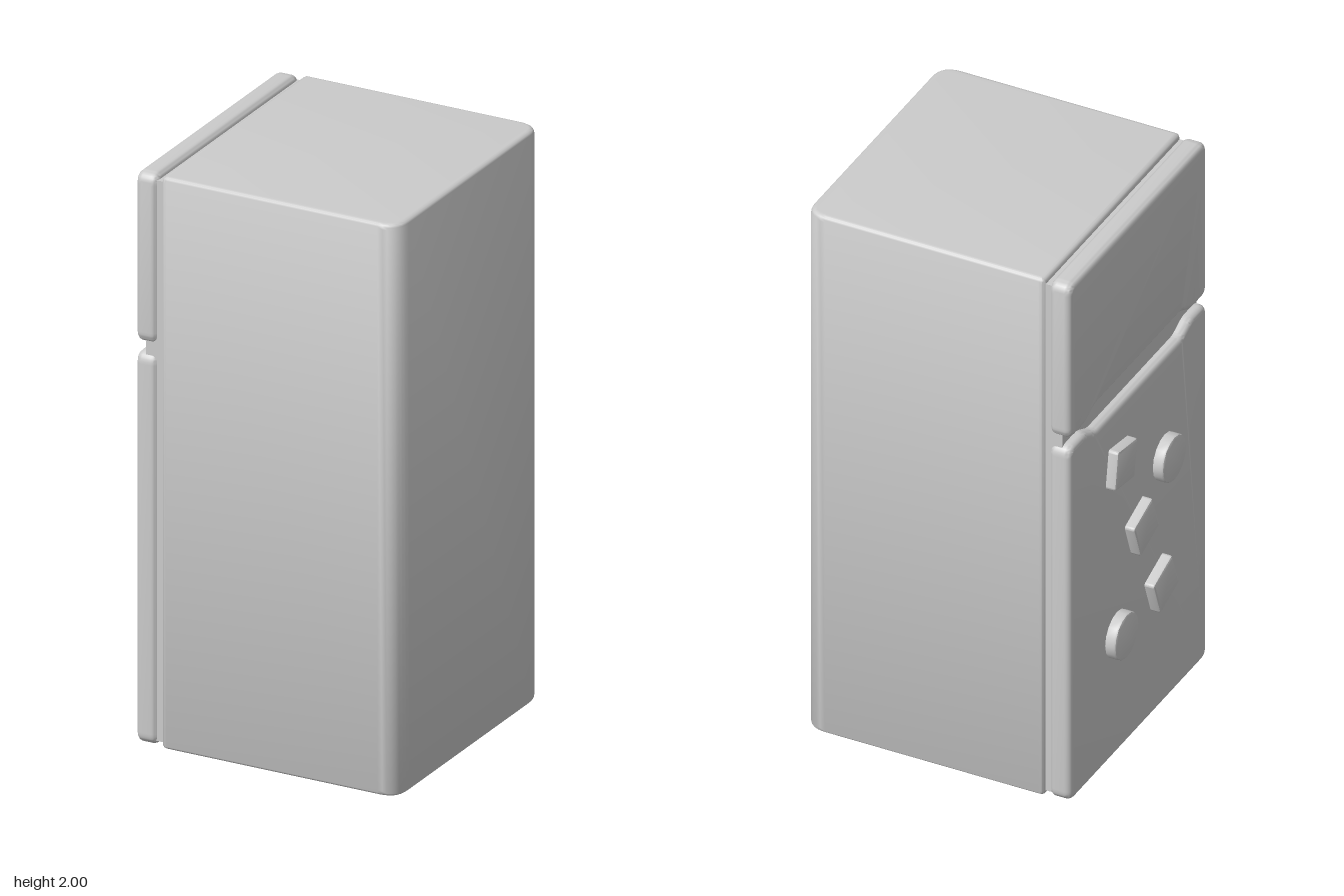
import * as THREE from 'three';
import { toCreasedNormals } from 'three/addons/utils/BufferGeometryUtils.js';

const material = new THREE.MeshStandardMaterial({ color: 0xcccccc });

// Closed outline from corners [u, v, radius], each corner rounded off
function roundedShape(corners) {
  const shape = new THREE.Shape();
  corners.forEach(([u, v, r], i) => {
    const n = corners.length;
    const corner = new THREE.Vector2(u, v);
    const toward = ([a, b]) => new THREE.Vector2(a, b).sub(corner).setLength(r).add(corner);
    const start = toward(corners[(i + n - 1) % n]);
    const end = toward(corners[(i + 1) % n]);
    if (i === 0) shape.moveTo(start.x, start.y);
    else shape.lineTo(start.x, start.y);
    shape.quadraticCurveTo(u, v, end.x, end.y);
  });
  shape.closePath();
  return shape;
}

// Soft-edged slab whose outer size stays that of the outline
function slab(shape, thickness, bevel, segments = 4) {
  const geometry = new THREE.ExtrudeGeometry(shape, {
    depth: thickness - 2 * bevel,
    bevelThickness: bevel,
    bevelSize: bevel,
    bevelOffset: -bevel,
    bevelSegments: segments,
    curveSegments: 8,
  });
  geometry.translate(0, 0, bevel);
  return toCreasedNormals(geometry, 0.7);
}

function addPart(group, name, geometry) {
  const mesh = new THREE.Mesh(geometry, material);
  mesh.name = name;
  group.add(mesh);
  return mesh;
}

export function createModel() {
  const group = new THREE.Group();
  group.name = 'refrigerator';

  // Cabinet: plan outline raised along y, rounder on the side away from the doors
  const plan = roundedShape([
    [-0.37, -0.482, 0.02], [0.498, -0.482, 0.075], [0.498, 0.482, 0.075], [-0.37, 0.482, 0.02],
  ]);
  addPart(group, 'cabinet', slab(plan, 2, 0.018).rotateX(-Math.PI / 2));

  // Inset seal behind and between the doors
  const seal = new THREE.BoxGeometry(0.08, 1.96, 0.94).translate(-0.39, 1, 0);
  addPart(group, 'doorSeal', seal);

  // Doors: outlines in z and y, with shallow finger recesses facing each other
  const half = 0.482, r = 0.04, soft = 0.02;
  const upper = roundedShape([
    [-half, 1.405, r], [-0.37, 1.405, soft], [-0.3, 1.437, soft],
    [0.3, 1.437, soft], [0.37, 1.405, soft], [half, 1.405, r],
    [half, 2, r], [-half, 2, r],
  ]);
  const lower = roundedShape([
    [-half, 0.003, r], [half, 0.003, r], [half, 1.372, r],
    [0.37, 1.372, soft], [0.3, 1.34, soft], [-0.3, 1.34, soft],
    [-0.37, 1.372, soft], [-half, 1.372, r],
  ]);
  for (const [name, shape] of [['freezerDoor', upper], ['mainDoor', lower]]) {
    const geometry = slab(shape, 0.077, 0.022, 5).rotateY(-Math.PI / 2);
    addPart(group, name, geometry).position.x = -0.387;
  }

  // Square magnets: z, y, tilt in degrees
  const square = roundedShape([
    [-0.07, -0.07, 0.01], [0.07, -0.07, 0.01], [0.07, 0.07, 0.01], [-0.07, 0.07, 0.01],
  ]);
  for (const [z, y, tilt] of [[-0.152, 1.13, -9], [-0.01, 0.803, 20], [0.128, 0.5, 20]]) {
    const geometry = slab(square, 0.045, 0.008, 2)
      .rotateZ(THREE.MathUtils.degToRad(tilt))
      .rotateY(-Math.PI / 2);
    addPart(group, 'squareMagnet', geometry).position.set(-0.455, y, z);
  }

  // Round magnets
  const disc = new THREE.Shape().absarc(0, 0, 0.083, 0, Math.PI * 2);
  for (const [z, y] of [[0.182, 0.955], [-0.152, 0.467]]) {
    const geometry = slab(disc, 0.047, 0.008, 2).rotateY(-Math.PI / 2);
    addPart(group, 'roundMagnet', geometry).position.set(-0.455, y, z);
  }

  return group;
}
